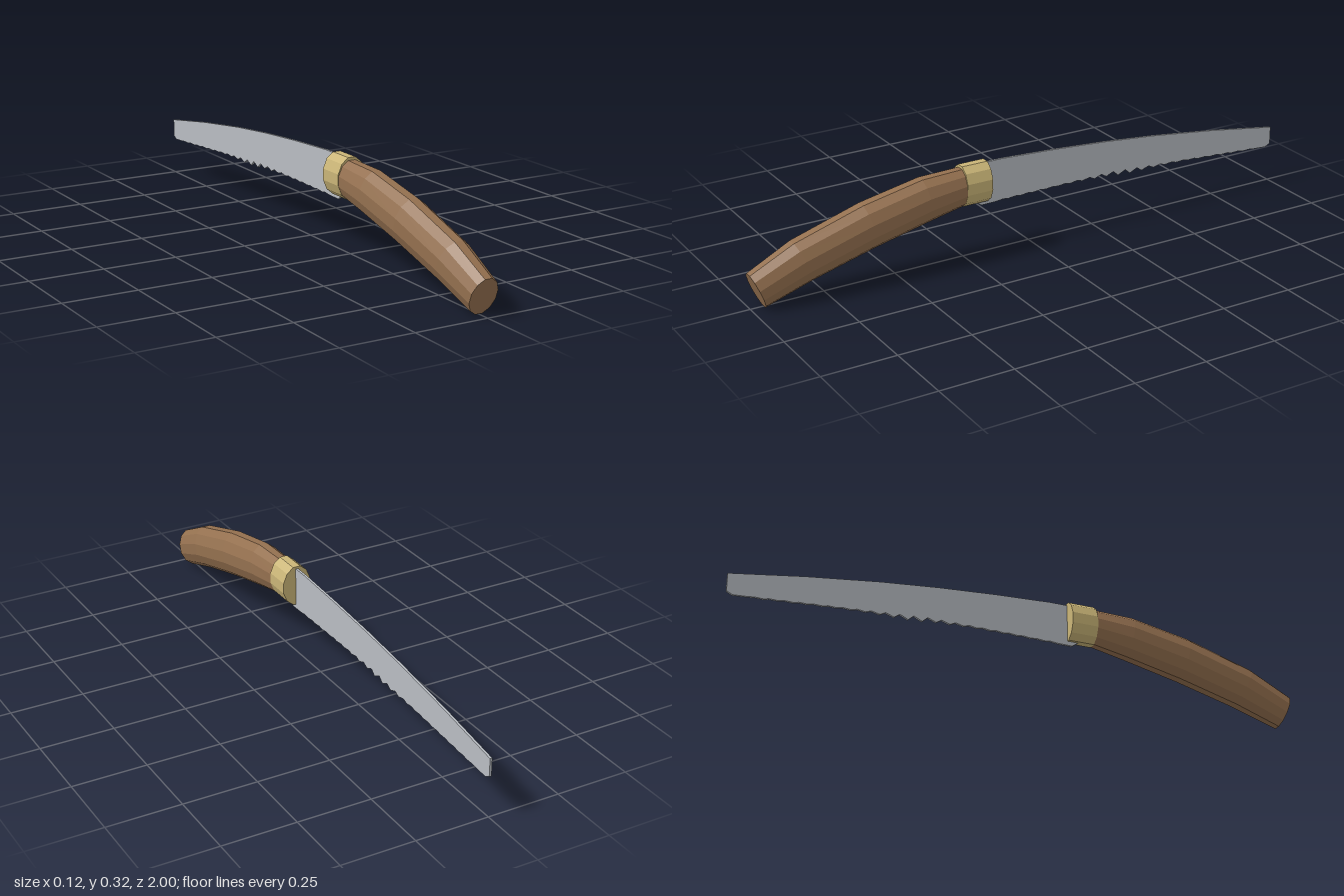
import * as THREE from 'three';

const SIDES = 12;

// Loft through oval rings, each given by its top [z, y], bottom [z, y] and half width
function loft(rings) {
  const pos = [];
  const point = (r, i) => {
    const [tz, ty, bz, by, w] = rings[r];
    const a = ((i + 0.5) / SIDES) * Math.PI * 2;
    const k = Math.cos(Math.PI / SIDES);
    const t = 0.5 + (Math.cos(a) / k) * 0.5;
    return [(Math.sin(a) / k) * w, by + (ty - by) * t, bz + (tz - bz) * t];
  };
  const center = (r) => [0, (rings[r][1] + rings[r][3]) / 2, (rings[r][0] + rings[r][2]) / 2];
  const last = rings.length - 1;
  for (let i = 0; i < SIDES; i++) {
    // rings run from front (+z) to back (-z)
    for (let r = 0; r < last; r++) {
      const a = point(r, i), b = point(r, i + 1), c = point(r + 1, i + 1), d = point(r + 1, i);
      pos.push(...a, ...b, ...c, ...a, ...c, ...d);
    }
    pos.push(...center(0), ...point(0, i + 1), ...point(0, i));
    pos.push(...center(last), ...point(last, i), ...point(last, i + 1));
  }
  const g = new THREE.BufferGeometry();
  g.setAttribute('position', new THREE.Float32BufferAttribute(pos, 3));
  g.computeVertexNormals();
  return g;
}

// Thin plate with a curved back and a toothed lower edge
function bladeGeometry() {
  const s = new THREE.Shape();
  s.moveTo(0.2, 0.313);
  for (const [z, y] of [[0.1, 0.313], [-0.1, 0.303], [-0.3, 0.289], [-0.5, 0.27], [-0.75, 0.239], [-1, 0.201],
    [-1, 0.14], [-0.98, 0.13], [-0.93, 0.133]]) s.lineTo(z, y);
  const teeth = 22, start = -0.91, pitch = 0.048;
  for (let i = 0; i < teeth; i++) {
    const z = start + i * pitch;
    const edge = (q) => (q < -0.3 ? 0.176 + (q + 0.3) * 0.066 : 0.174 - (q + 0.3) * 0.01);
    const depth = 0.003 + 0.013 * Math.exp(-(((z + 0.4) / 0.14) ** 2));
    s.lineTo(z, edge(z));
    s.lineTo(z + pitch * 0.6, edge(z + pitch * 0.6) - depth);
  }
  s.lineTo(0.18, 0.166);
  s.lineTo(0.2, 0.18);
  const g = new THREE.ExtrudeGeometry(s, { depth: 0.008, bevelEnabled: false });
  g.translate(0, 0, -0.004);
  g.rotateY(-Math.PI / 2);
  return g;
}

export function createModel() {
  const mat = (name, color, flatShading = true) => {
    const m = new THREE.MeshStandardMaterial({ color, flatShading });
    m.name = name;
    return m;
  };
  const wood = mat('wood', 0x94704f);
  const brass = mat('brass', 0xcab577);
  const steel = mat('steel', 0xb9bdc3);

  const group = new THREE.Group();
  group.name = 'handSaw';
  const add = (name, geometry, material) => {
    const m = new THREE.Mesh(geometry, material);
    m.name = name;
    group.add(m);
  };

  // Curved wooden handle
  add('handle', loft([
    [1.0, 0.118, 0.955, 0.0, 0.047],
    [0.85, 0.192, 0.79, 0.055, 0.057],
    [0.61, 0.265, 0.575, 0.113, 0.059],
    [0.4, 0.306, 0.375, 0.158, 0.055],
    [0.23, 0.311, 0.23, 0.187, 0.047],
  ]), wood);
  // Metal collar between handle and blade
  add('ferrule', loft([
    [0.255, 0.32, 0.255, 0.181, 0.05],
    [0.162, 0.32, 0.162, 0.181, 0.05],
  ]), brass);
  add('blade', bladeGeometry(), steel);
  return group;
}
